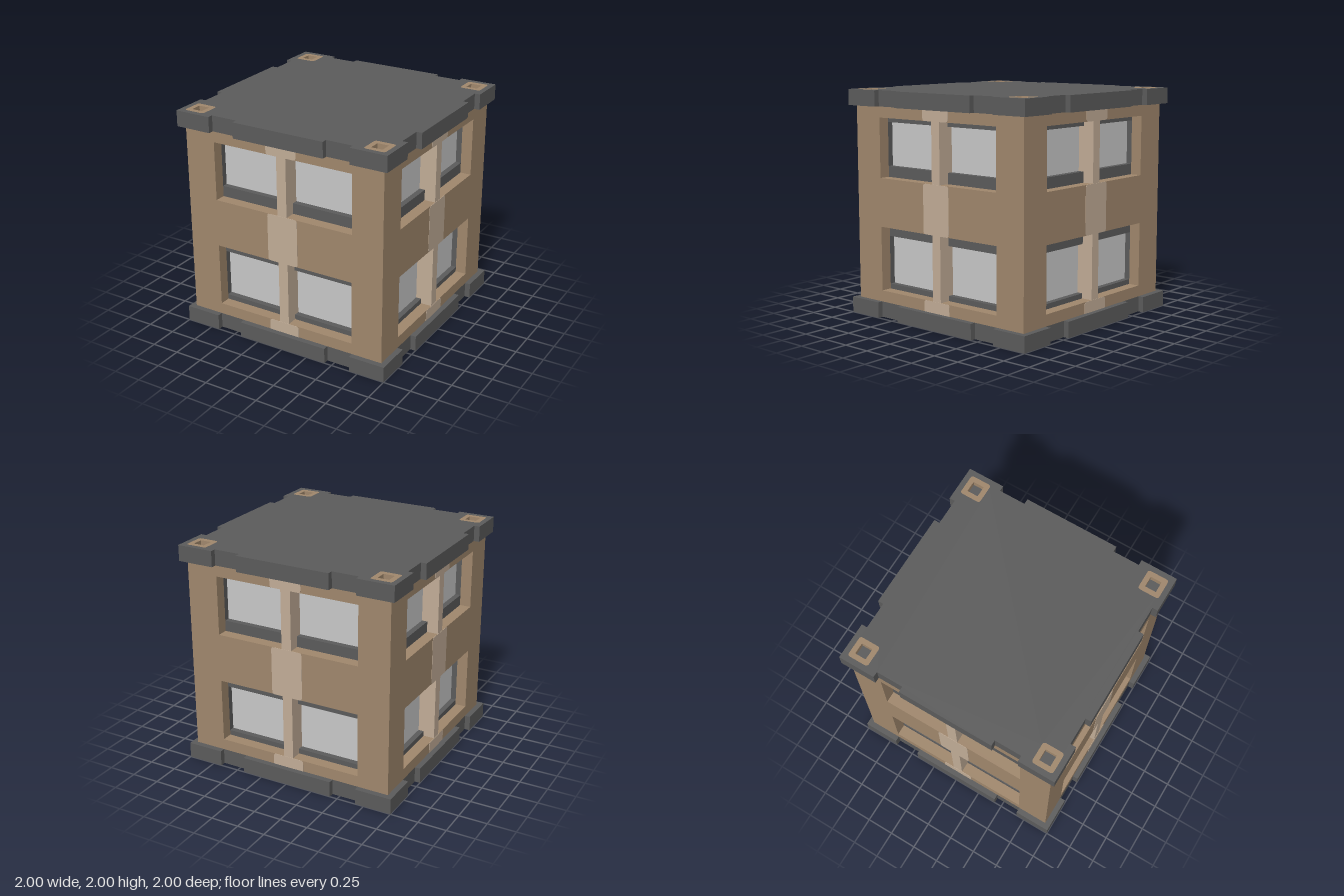
import * as THREE from 'three';

const mat = (name, color) => {
  const m = new THREE.MeshStandardMaterial({ color });
  m.name = name;
  return m;
};

// Rounded or square-cornered rectangle, written into a Shape or Path
function rect(path, x0, y0, x1, y1, r = 0) {
  path.moveTo(x0 + r, y0);
  path.lineTo(x1 - r, y0);
  if (r) path.quadraticCurveTo(x1, y0, x1, y0 + r);
  path.lineTo(x1, y1 - r);
  if (r) path.quadraticCurveTo(x1, y1, x1 - r, y1);
  path.lineTo(x0 + r, y1);
  if (r) path.quadraticCurveTo(x0, y1, x0, y1 - r);
  path.lineTo(x0, y0 + r);
  if (r) path.quadraticCurveTo(x0, y0, x0 + r, y0);
  return path;
}

const extrude = (shape, depth) =>
  new THREE.ExtrudeGeometry(shape, { depth, bevelEnabled: false, curveSegments: 4 });

// Upright panel with full-width openings, from z = back to z = back + depth
function panel(halfWidth, openings, back, depth) {
  const shape = rect(new THREE.Shape(), -halfWidth, 0.14, halfWidth, 1.86);
  for (const [y0, y1] of openings) shape.holes.push(rect(new THREE.Path(), -0.665, y0, 0.665, y1));
  return extrude(shape, depth).translate(0, 0, back);
}

// Slab outline: square with two shallow notches on every edge
function slabShape() {
  const edge = [[-1, 1], [-0.67, 1], [-0.67, 0.95], [-0.43, 0.95], [-0.43, 1],
    [0.43, 1], [0.43, 0.95], [0.67, 0.95], [0.67, 1]];
  const points = [];
  for (let i = 0; i < 4; i++) {
    const a = -i * Math.PI / 2;
    for (const [x, y] of edge) points.push(new THREE.Vector2(x, y).rotateAround(new THREE.Vector2(), a));
  }
  return new THREE.Shape(points);
}

export function createModel() {
  const model = new THREE.Group();
  model.name = 'building';
  const wallMat = mat('tan wall', 0xa1886d);
  const paleMat = mat('pale trim', 0xc3ae98);
  const darkMat = mat('dark grey', 0x5c5c5c);
  const glassMat = mat('light glass', 0xc9c9c9);

  const add = (parent, name, geometry, material, x = 0, y = 0, z = 0) => {
    const mesh = new THREE.Mesh(geometry, material);
    mesh.name = name;
    mesh.position.set(x, y, z);
    parent.add(mesh);
    return mesh;
  };

  // Inner block forms the window glass
  add(model, 'glassCore', new THREE.BoxGeometry(1.6, 1.72, 1.6), glassMat, 0, 1, 0);

  // Four facades
  const wallOpenings = [[0.24, 0.81], [1.24, 1.765]];
  const frameOpenings = [[0.285, 0.715], [1.335, 1.72]];
  for (let i = 0; i < 4; i++) {
    const facade = new THREE.Group();
    facade.name = ['front', 'left', 'back', 'right'][i] + 'Facade';
    facade.rotation.y = i * Math.PI / 2;
    model.add(facade);
    add(facade, 'wall', panel(i % 2 ? 0.85 : 0.95, wallOpenings, 0.85, 0.1), wallMat);
    add(facade, 'windowFrames', panel(i % 2 ? 0.8 : 0.85, frameOpenings, 0.8, 0.05), darkMat);

    // Mullions between the windows, pale on all sides
    for (const [y0, y1] of wallOpenings) {
      add(facade, 'mullion', new THREE.BoxGeometry(0.09, y1 - y0, 0.15), paleMat, 0, (y0 + y1) / 2, 0.875);
    }
    // Painted pale patches above, between and below the windows
    const patches = [[0.1, 0.24], [0.81, 1.24], [1.765, 1.9]];
    patches.forEach(([y0, y1]) => {
      const shape = rect(new THREE.Shape(), -0.145, y0, 0.145, y1, 0.025);
      add(facade, 'palePatch', extrude(shape, 0.003), paleMat, 0, 0, 0.95);
    });
  }

  // Base and roof slabs
  const flat = (shape, depth) => extrude(shape, depth).rotateX(-Math.PI / 2);
  add(model, 'baseSlab', flat(slabShape(), 0.14), darkMat);

  const roof = slabShape();
  const corners = [[-1, -1], [1, -1], [1, 1], [-1, 1]].map(([x, z]) => [x * 0.857, z * 0.857]);
  const r = 0.095, hole = 0.05;
  for (const [x, z] of corners) {
    roof.holes.push(rect(new THREE.Path(), x - r, z - r, x + r, z + r, 0.025));
  }
  add(model, 'roofSlab', flat(roof, 0.14), darkMat, 0, 1.86, 0);

  // Flush corner sockets with a sunken square hole
  const ring = rect(new THREE.Shape(), -r, -r, r, r, 0.025);
  ring.holes.push(rect(new THREE.Path(), -hole, -hole, hole, hole));
  for (const [x, z] of corners) {
    add(model, 'cornerSocket', flat(ring, 0.05), wallMat, x, 1.95, z);
    add(model, 'socketFloor', new THREE.BoxGeometry(0.18, 0.09, 0.18), darkMat, x, 1.905, z);
  }
  return model;
}
